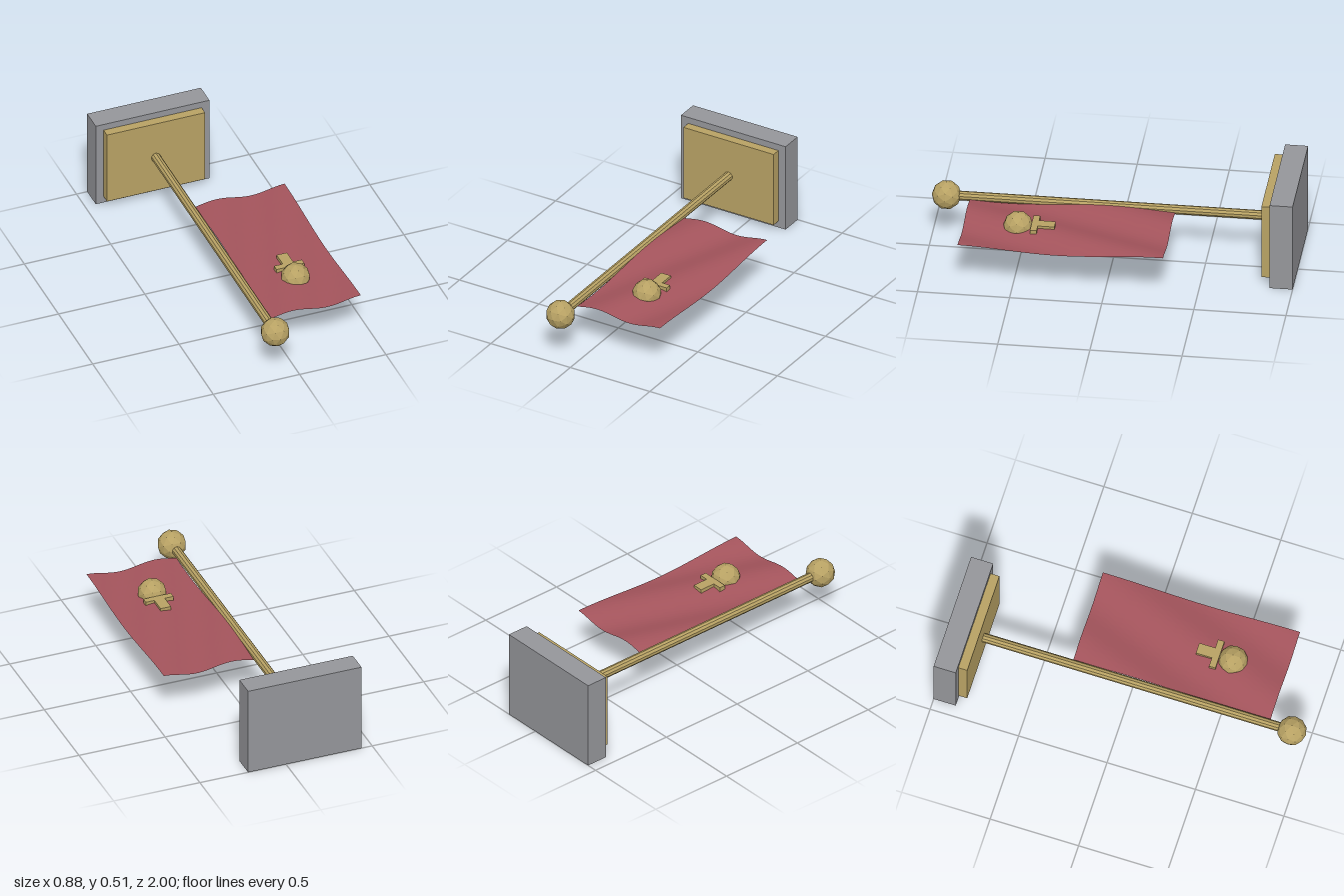
import * as THREE from 'three';

export function createModel() {
  const root = new THREE.Group();
  const material = (name, color, extra = {}) => {
    const m = new THREE.MeshStandardMaterial({ color, flatShading: true, ...extra });
    m.name = name;
    return m;
  };
  const gold = material('gold', 0xb8a264);
  const stone = material('stone grey', 0x95969a);
  const cloth = material('red cloth', 0xa4545c, { side: THREE.DoubleSide });

  const add = (name, geometry, mat, x, y, z, parent = root) => {
    const mesh = new THREE.Mesh(geometry, mat);
    mesh.name = name;
    mesh.position.set(x, y, z);
    parent.add(mesh);
    return mesh;
  };

  // Stepped base, standing on its edge
  add('baseSlab', new THREE.BoxGeometry(0.658, 0.514, 0.125), stone, -0.109, 0.257, -0.9375);
  add('basePlate', new THREE.BoxGeometry(0.567, 0.438, 0.05), gold, -0.109, 0.258, -0.85);

  // Pole running forward from the base, with a ball finial
  const pole = new THREE.CylinderGeometry(0.026, 0.026, 1.72, 10).rotateX(Math.PI / 2);
  add('pole', pole, gold, -0.11, 0.258, 0.025);
  const ball = new THREE.IcosahedronGeometry(0.08, 1).rotateX(Math.PI / 2);
  add('finial', ball, gold, -0.11, 0.258, 0.92);

  // Cloth with a shallow diagonal ripple
  const width = 0.522, length = 1.115;
  const flag = new THREE.PlaneGeometry(width, length, 20, 24).rotateX(-Math.PI / 2);
  const p = flag.attributes.position;
  for (let i = 0; i < p.count; i++) {
    const across = p.getX(i) / width + 0.5;
    const along = p.getZ(i) / length - 0.5;
    p.setY(i, 0.0135 * Math.sin(2 * Math.PI * (1.3 * across - 0.07 + along)));
  }
  flag.computeVertexNormals();
  add('flag', flag, cloth, 0.176, 0.257, 0.233);

  // Emblem: a ball with a cross bar and stem, set through the cloth
  const emblem = new THREE.Group();
  emblem.name = 'emblem';
  emblem.position.set(0.176, 0.26, 0);
  root.add(emblem);
  add('emblemBall', ball, gold, 0, 0.004, 0.495, emblem);
  add('emblemBar', new THREE.BoxGeometry(0.16, 0.05, 0.036), gold, 0, 0, 0.403, emblem);
  add('emblemStem', new THREE.BoxGeometry(0.06, 0.05, 0.09), gold, 0, 0, 0.34, emblem);

  return root;
}
